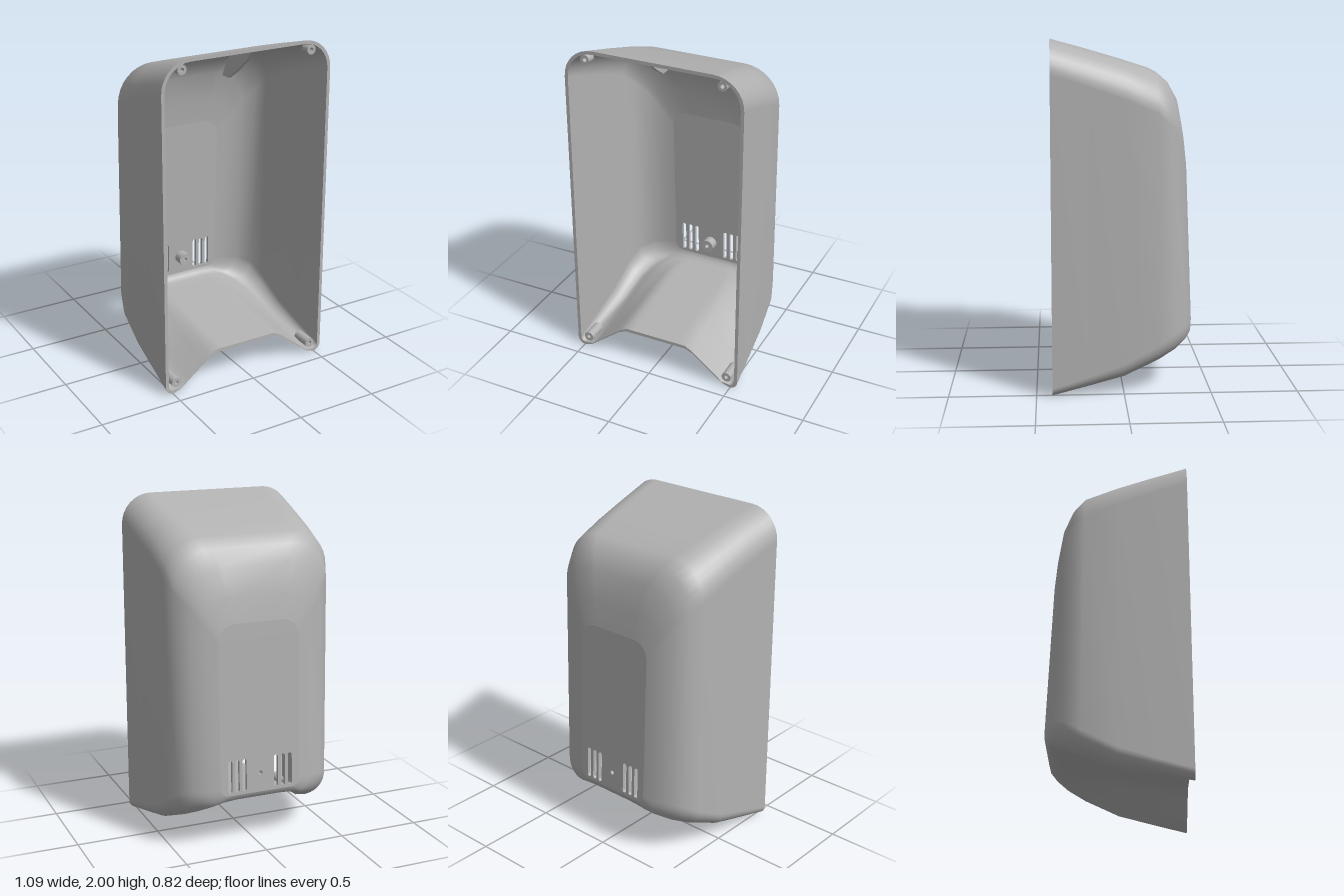
import * as THREE from 'three';

const WALL = 0.02;
// Sections from open front to back: z at bottom, z at top, half width,
// top y, bottom y at corners, bottom y at middle, top radius, bottom radius
const SECTIONS = [
  [0.41, 0.41, 0.545, 2.0, 0.0, 0.19, 0.18, 0.05],
  [0.2, 0.2, 0.533, 1.943, 0.045, 0.215, 0.19, 0.07],
  [0.0, 0.0, 0.522, 1.885, 0.09, 0.24, 0.2, 0.09],
  [-0.2, -0.19, 0.508, 1.825, 0.175, 0.265, 0.22, 0.11],
  [-0.3, -0.26, 0.475, 1.765, 0.225, 0.275, 0.23, 0.12],
  [-0.365, -0.315, 0.405, 1.67, 0.265, 0.288, 0.21, 0.11],
  [-0.4, -0.35, 0.32, 1.5, 0.297, 0.305, 0.16, 0.08],
  [-0.41, -0.37, 0.25, 1.35, 0.335, 0.335, 0.1, 0.05],
];
const LAST = SECTIONS.length - 1;

// Rounded outline with an arched bottom edge, counter-clockwise from the front
function ring(section, inset, zShift) {
  const [zb, zt, w0, t0, b0, m0, rt0, rb0] = section;
  const w = w0 - inset, top = t0 - inset, bot = b0 + inset;
  const rt = Math.max(rt0 - inset, 0.02), rb = Math.max(rb0 - inset, 0.02);
  const pts = [];
  const corner = (cx, cy, r, start) => {
    for (let i = 0; i <= 8; i++) {
      const a = start + (i / 8) * Math.PI / 2;
      pts.push([cx + r * Math.cos(a), cy + r * Math.sin(a)]);
    }
  };
  corner(w - rb, bot + rb, rb, -Math.PI / 2);
  corner(w - rt, top - rt, rt, 0);
  corner(-w + rt, top - rt, rt, Math.PI / 2);
  corner(-w + rb, bot + rb, rb, Math.PI);
  for (let i = 1; i < 20; i++) {
    const x = (w - rb) * (i / 10 - 1);
    const rise = THREE.MathUtils.clamp((0.86 - Math.abs(x) / w) / 0.45, 0, 1);
    pts.push([x, bot + (m0 - b0) * rise]);
  }
  return pts.map(([x, y]) =>
    new THREE.Vector3(x, y, zb + (zt - zb) * (y - b0) / (t0 - b0) + zShift));
}

// Skin across closed rings
function loft(rings, outward) {
  const n = rings[0].length, pos = [], idx = [];
  rings.forEach((r) => r.forEach((p) => pos.push(p.x, p.y, p.z)));
  for (let k = 0; k < rings.length - 1; k++) {
    for (let j = 0; j < n; j++) {
      const a = k * n + j, b = k * n + (j + 1) % n, c = a + n, d = b + n;
      if (outward) idx.push(a, c, b, b, c, d);
      else idx.push(a, b, c, b, d, c);
    }
  }
  const g = new THREE.BufferGeometry();
  g.setAttribute('position', new THREE.Float32BufferAttribute(pos, 3));
  g.setIndex(idx);
  g.computeVertexNormals();
  return g;
}

// Hollow screw post along z
function post(radius, bore, length) {
  const s = new THREE.Shape().absarc(0, 0, radius, 0, Math.PI * 2, false);
  s.holes.push(new THREE.Path().absarc(0, 0, bore, 0, Math.PI * 2, true));
  return new THREE.ExtrudeGeometry(s, { depth: length, bevelEnabled: false, curveSegments: 12 });
}

function slot(x, y0, y1, r) {
  const p = new THREE.Path();
  p.absarc(x, y1 - r, r, 0, Math.PI, false);
  p.absarc(x, y0 + r, r, Math.PI, Math.PI * 2, false);
  p.closePath();
  return p;
}

export function createModel() {
  const group = new THREE.Group();
  const grey = new THREE.MeshStandardMaterial({ color: 0xb2b2b2 });
  grey.name = 'housing grey';
  const add = (name, geometry, x = 0, y = 0, z = 0) => {
    const m = new THREE.Mesh(geometry, grey);
    m.name = name;
    m.position.set(x, y, z);
    group.add(m);
    return m;
  };

  // Shell: outer skin, inner skin and front rim
  const outer = SECTIONS.map((s) => ring(s, 0, 0));
  const inner = SECTIONS.map((s, k) =>
    ring(s, WALL * (1 - k / LAST), k === 0 ? 0 : WALL * k / LAST));
  add('outerShell', loft(outer, true));
  add('innerShell', loft(inner, false));
  add('frontRim', loft([outer[0], inner[0]], false));

  // Sloping back panel with vent slots and a screw hole
  const panel = new THREE.Shape(outer[LAST].map((p) => new THREE.Vector2(p.x, p.y)));
  for (const side of [-1, 1]) {
    for (const x of [0.1, 0.145, 0.19]) panel.holes.push(slot(side * x, 0.352, 0.548, 0.013));
  }
  panel.holes.push(new THREE.Path().absarc(0, 0.45, 0.013, 0, Math.PI * 2, true));
  const back = new THREE.ExtrudeGeometry(panel, { depth: WALL, bevelEnabled: false, curveSegments: 8 });
  const [zb, zt, , top, bot] = SECTIONS[LAST];
  const p = back.attributes.position;
  for (let i = 0; i < p.count; i++) {
    p.setZ(i, p.getZ(i) + zb + (zt - zb) * (p.getY(i) - bot) / (top - bot));
  }
  back.computeVertexNormals();
  add('backPanel', back);

  // Screw posts
  add('backScrewPost', post(0.04, 0.013, 0.07), 0, 0.45, -0.395);
  for (const side of [-1, 1]) {
    add('topScrewPost', post(0.028, 0.012, 0.055), side * 0.415, 1.94, 0.35);
    add('bottomScrewPost', post(0.03, 0.012, 0.12), side * 0.472, 0.063, 0.285);
  }

  // Ribs bracing the top wall against the back, drawn in (z, y)
  const rib = new THREE.Shape([
    [0.03, 1.87], [-0.2, 1.81], [-0.27, 1.74], [-0.315, 1.64], [-0.24, 1.64], [-0.15, 1.7], [-0.03, 1.8],
  ].map(([z, y]) => new THREE.Vector2(-z, y)));
  for (const side of [-1, 1]) {
    const g = new THREE.ExtrudeGeometry(rib, { depth: 0.02, bevelEnabled: false });
    g.translate(0, 0, -0.01);
    g.rotateY(Math.PI / 2);
    add('topRib', g, side * 0.27, 0, 0);
  }
  return group;
}
